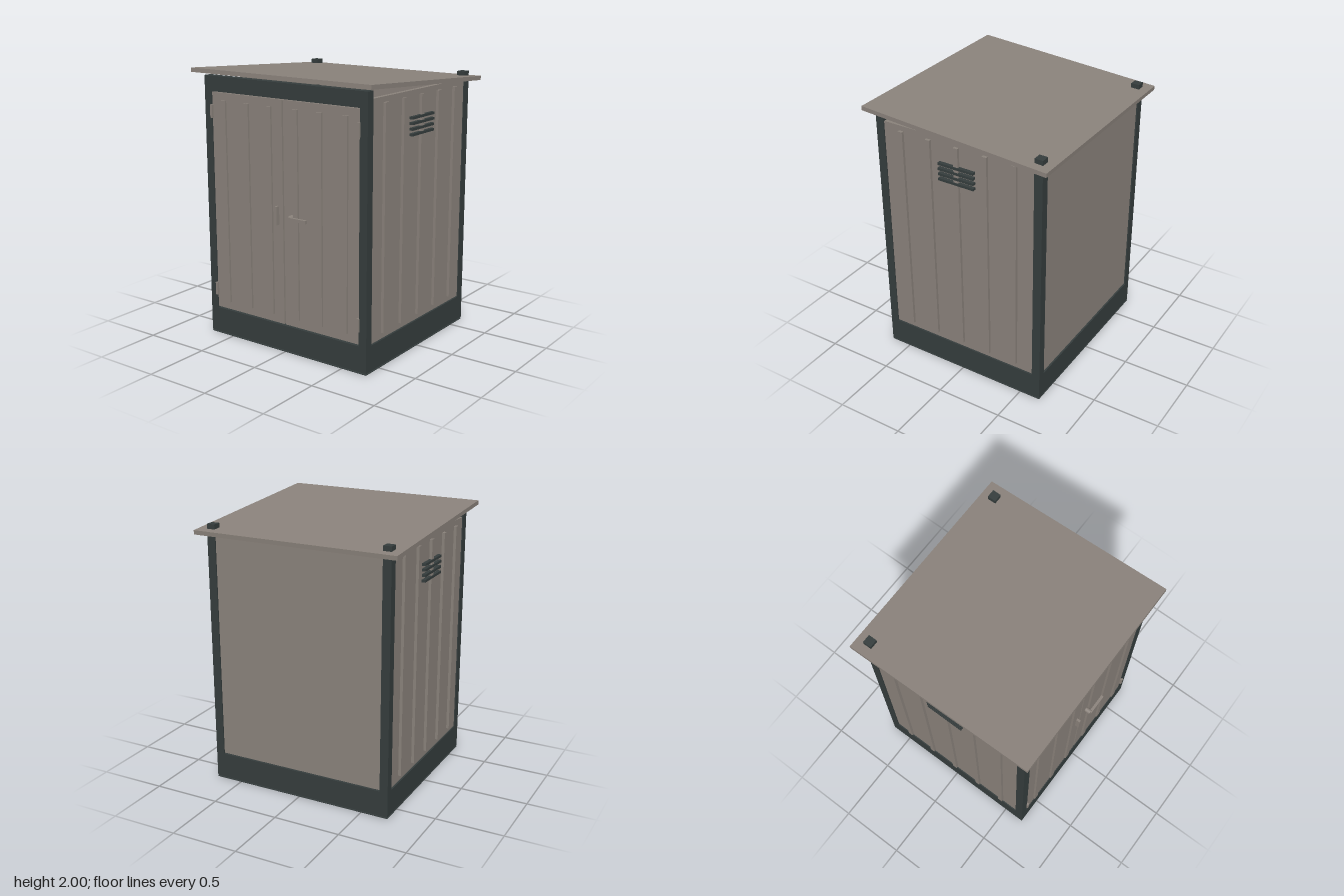
import * as THREE from 'three';

const taupe = new THREE.MeshStandardMaterial({ color: 0x8a827b });
taupe.name = 'taupe cladding';
const slate = new THREE.MeshStandardMaterial({ color: 0x353d3d });
slate.name = 'dark slate frame';

export function createModel() {
  const model = new THREE.Group();
  model.name = 'storageShed';

  // Box given by its lower and upper limits on each axis
  function box(name, mat, [x0, x1], [y0, y1], [z0, z1], parent = model) {
    const mesh = new THREE.Mesh(new THREE.BoxGeometry(x1 - x0, y1 - y0, z1 - z0), mat);
    mesh.position.set((x0 + x1) / 2, (y0 + y1) / 2, (z0 + z1) / 2);
    mesh.name = name;
    parent.add(mesh);
    return mesh;
  }
  const span = (s, a, b) => (s > 0 ? [a, b] : [-b, -a]);

  // Plinth and floor plate
  box('floorPlate', slate, [-0.705, 0.705], [0, 0.005], [-0.66, 0.66]);
  box('plinth', slate, [-0.705, 0.705], [0.012, 0.2], [-0.66, 0.66]);

  // Corner posts; the rear pair pokes through the roof
  for (const sx of [-1, 1]) {
    for (const sz of [-1, 1]) {
      box('cornerPost', slate, span(sx, 0.643, 0.705), [0.2, 1.945], span(sz, 0.597, 0.66));
    }
  }
  box('frontHeader', slate, [-0.643, 0.643], [1.835, 1.945], [0.6, 0.66]);

  // Sloping roof
  const roof = box('roof', taupe, [-0.772, 0.772], [1.922, 1.953], [-0.725, 0.725]);
  roof.rotation.x = -Math.atan(0.094 / 1.45);
  roof.position.set(0, 1.937, 0);

  // Plain back wall
  box('backWall', taupe, [-0.643, 0.643], [0.205, 1.89], [-0.65, -0.62]);

  // Side walls with ribs and louvre slots
  for (const s of [-1, 1]) {
    const side = new THREE.Group();
    side.name = s > 0 ? 'leftWall' : 'rightWall';
    model.add(side);
    box('sidePanel', taupe, span(s, 0.665, 0.697), [0.205, 1.89], [-0.597, 0.597], side);
    for (let i = -2; i <= 2; i++) {
      const z = i * 0.226;
      box('sideRib', taupe, span(s, 0.69, 0.718), [0.25, 1.853], [z - 0.018, z + 0.018], side);
    }
    for (let i = 0; i < 4; i++) {
      const y = 1.587 + i * 0.039;
      box('ventSlot', slate, span(s, 0.69, 0.724), [y - 0.009, y + 0.009], [-0.142, 0.142], side);
    }
  }

  // Double doors with ribs and hinges
  for (const s of [-1, 1]) {
    const door = new THREE.Group();
    door.name = s > 0 ? 'leftDoor' : 'rightDoor';
    model.add(door);
    box('doorPanel', taupe, span(s, 0.006, 0.64), [0.21, 1.83], [0.62, 0.655], door);
    for (const x of [0.115, 0.318, 0.529]) {
      box('doorRib', taupe, span(s, x - 0.021, x + 0.021), [0.27, 1.775], [0.65, 0.67], door);
    }
    for (const y of [0.353, 1.692]) {
      box('hinge', taupe, span(s, 0.632, 0.65), [y - 0.048, y + 0.048], [0.65, 0.672], door);
    }
  }

  // Pull handle, and a lever on a round spindle
  box('pullHandle', taupe, [-0.056, -0.04], [0.945, 1.08], [0.65, 0.686]);
  box('leverHandle', taupe, [0.07, 0.228], [1.003, 1.026], [0.686, 0.706]);
  const spindle = new THREE.Mesh(new THREE.CylinderGeometry(0.019, 0.019, 0.045, 20), taupe);
  spindle.rotation.x = Math.PI / 2;
  spindle.position.set(0.075, 1.014, 0.674);
  spindle.name = 'leverSpindle';
  model.add(spindle);

  return model;
}
